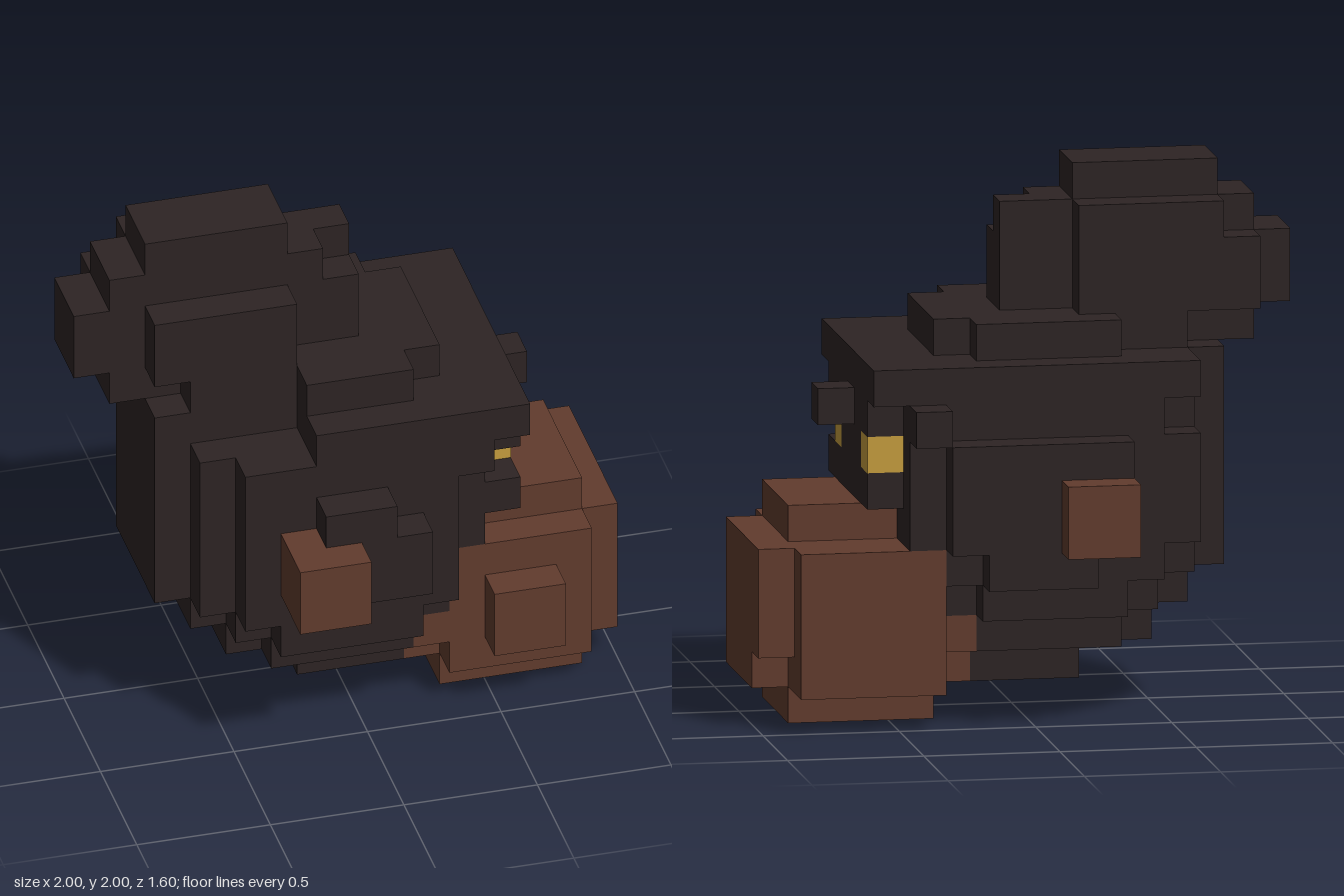
import * as THREE from 'three';
import { mergeGeometries } from 'three/addons/utils/BufferGeometryUtils.js';

const U = 2 / 15; // one block

const fur = new THREE.MeshStandardMaterial({ color: 0x2d2424 });
fur.name = 'dark fur';
const skin = new THREE.MeshStandardMaterial({ color: 0x623c2e });
skin.name = 'brown skin';
const gold = new THREE.MeshStandardMaterial({ color: 0xc69d3e });
gold.name = 'gold eye';

// Each block is [x0, x1, y0, y1, z0, z1] in grid units (15 x 15 x 12).
function part(name, material, blocks) {
  const geos = blocks.map(([x0, x1, y0, y1, z0, z1]) => {
    const g = new THREE.BoxGeometry((x1 - x0) * U, (y1 - y0) * U, (z1 - z0) * U);
    g.translate(((x0 + x1) / 2 - 7.5) * U, ((y0 + y1) / 2) * U, ((z0 + z1) / 2 - 6) * U);
    return g;
  });
  const mesh = new THREE.Mesh(mergeGeometries(geos), material);
  mesh.name = name;
  return mesh;
}

export function createModel() {
  const model = new THREE.Group();
  model.name = 'blockCreature';

  // Stepped underside
  model.add(part('belly', fur, [
    [6, 9, 1, 2, 4, 8],
    [4, 9, 2, 3, 4, 8], [5, 9, 2, 3, 3, 9],
    [3, 10, 3, 4, 4, 8], [4, 10, 3, 4, 3, 9], [5, 9, 3, 4, 2, 10],
  ]));

  // Rounded main body
  model.add(part('body', fur, [
    [2, 10, 4, 5, 4, 8], [3, 10, 4, 5, 3, 9], [4, 10, 4, 5, 2, 10],
    [2, 11, 5, 8, 4, 8], [3, 11, 5, 8, 2, 9], [4, 10, 5, 8, 9, 10],
  ]));

  // Raised patches around the hands
  model.add(part('rightFlank', fur, [
    [6, 9, 4, 5, 1, 2], [5, 10, 5, 8, 1, 2], [10, 11, 8, 9, 1, 2],
  ]));
  model.add(part('leftFlank', fur, [
    [7, 9, 5, 7, 10, 11], [6, 8, 7, 8, 10, 11],
  ]));

  // Face: cheeks, bridge between the eyes, brow
  model.add(part('face', fur, [
    [11, 12, 6, 7, 3, 9], [11, 12, 7, 8, 4, 7],
    [2, 12, 8, 9, 4, 8], [3, 12, 8, 9, 3, 9], [4, 11, 8, 9, 2, 10],
  ]));
  model.add(part('brow', fur, [
    [2, 12, 9, 10, 4, 8], [3, 12, 9, 10, 2, 8], [6, 12, 9, 10, 8, 10],
  ]));
  model.add(part('nose', fur, [[12, 13, 8, 9, 5, 6]]));
  for (const [name, z] of [['rightEye', 3], ['leftEye', 7]]) {
    model.add(part(name, gold, [[11, 12, 7, 8, z, z + 1]]));
  }

  // Tuft sweeping up and back
  model.add(part('tuftBase', fur, [
    [3, 10, 10, 11, 4, 8], [5, 9, 10, 11, 3, 4], [6, 9, 10, 11, 8, 9],
    [1, 3, 10, 11, 5, 7],
  ]));
  model.add(part('tuft', fur, [
    [0, 8, 11, 13, 5, 7], [1, 6, 11, 13, 4, 5], [2, 6, 11, 13, 7, 8],
    [1, 7, 13, 14, 5, 7], [7, 8, 13, 14, 5, 6], [2, 6, 13, 14, 4, 5],
    [2, 6, 14, 15, 5, 7],
  ]));

  // Large stepped muzzle
  model.add(part('muzzle', skin, [
    [10, 14, 0, 1, 4, 8],
    [9, 15, 1, 2, 4, 8], [10, 14, 1, 2, 2, 9],
    [9, 10, 2, 3, 3, 9],
    [10, 15, 2, 5, 3, 8], [10, 14, 2, 5, 2, 9],
    [11, 13, 2, 4, 9, 10],
    [11, 14, 5, 6, 4, 8],
  ]));

  // Hands
  model.add(part('rightHand', skin, [[5, 7, 5, 7, 0, 1]]));
  model.add(part('leftHand', skin, [[5, 7, 5, 7, 10, 12]]));

  return model;
}
